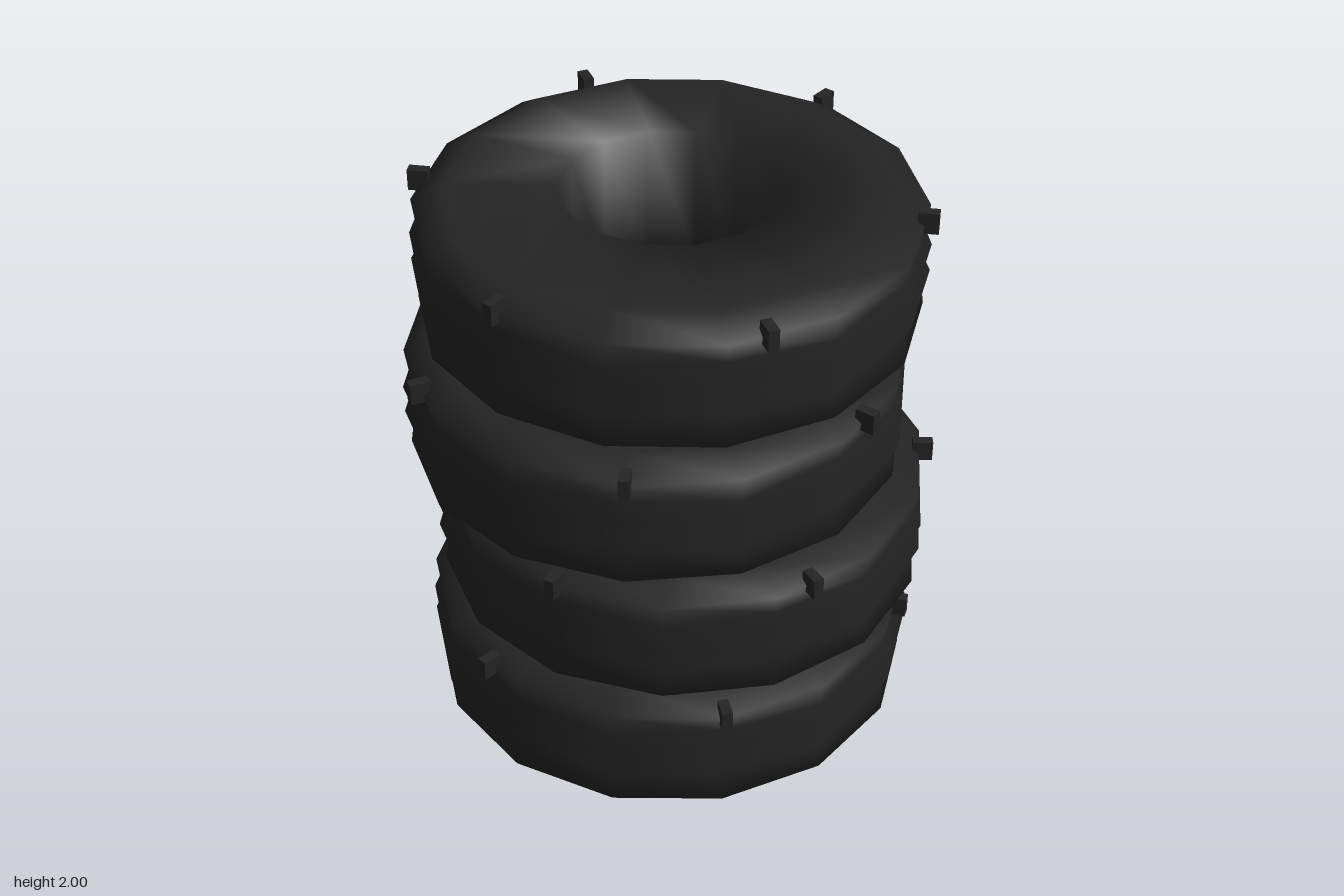
import * as THREE from 'three';
import { mergeVertices } from 'three/addons/utils/BufferGeometryUtils.js';

const SIDES = 14;
const deg = THREE.MathUtils.degToRad;

// Closed tyre section: flat sidewalls, bevelled shoulders, ribbed tread, straight bore
const SECTION = [
  [0.37, 0], [0.75, 0], [0.85, 0.06], [0.84, 0.14], [0.865, 0.2], [0.84, 0.25],
  [0.865, 0.3], [0.84, 0.36], [0.853, 0.44], [0.75, 0.5], [0.37, 0.5], [0.37, 0],
];

function tyreGeometry() {
  const lathe = new THREE.LatheGeometry(
    SECTION.map(([r, y]) => new THREE.Vector2(r, y)), SIDES, deg(16.7), Math.PI * 2);
  // Stagger the tread ribs up and down from one side to the next
  const pos = lathe.attributes.position;
  const rows = SECTION.length;
  for (let i = 0; i < pos.count; i++) {
    const row = i % rows;
    const side = Math.floor(i / rows);
    if (row >= 3 && row <= 7) pos.setY(i, pos.getY(i) + (side % 2 ? 0.012 : -0.012));
  }
  // Weld the seams so the shading runs smoothly round the whole ring
  lathe.deleteAttribute('uv');
  lathe.deleteAttribute('normal');
  const welded = mergeVertices(lathe, 1e-4);
  welded.computeVertexNormals();
  return welded;
}

export function createModel() {
  const model = new THREE.Group();
  model.name = 'tyreStack';
  const rubber = new THREE.MeshStandardMaterial({ color: 0x242424 });
  rubber.name = 'black rubber';

  const ring = tyreGeometry();
  const lugBlock = new THREE.BoxGeometry(0.037, 0.075, 0.07);

  // Each tyre sits a little off centre and turned: x, z, turn in degrees
  const tyres = [[-0.005, 0, 30], [0.025, 0.03, -12.5], [-0.045, -0.025, 11], [0.015, -0.02, -22]];
  tyres.forEach(([x, z, turn], level) => {
    const tyre = new THREE.Group();
    tyre.name = `tyre${level + 1}`;
    tyre.position.set(x, level * 0.5, z);
    tyre.rotation.y = deg(turn);

    const body = new THREE.Mesh(ring, rubber);
    body.name = 'tyreBody';
    tyre.add(body);

    // Six small lugs round the upper shoulder
    for (let i = 0; i < 6; i++) {
      const a = i * Math.PI / 3;
      const lug = new THREE.Mesh(lugBlock, rubber);
      lug.name = 'treadLug';
      lug.position.set(0.845 * Math.sin(a), 0.45, 0.845 * Math.cos(a));
      lug.rotation.y = a;
      tyre.add(lug);
    }
    model.add(tyre);
  });
  return model;
}
